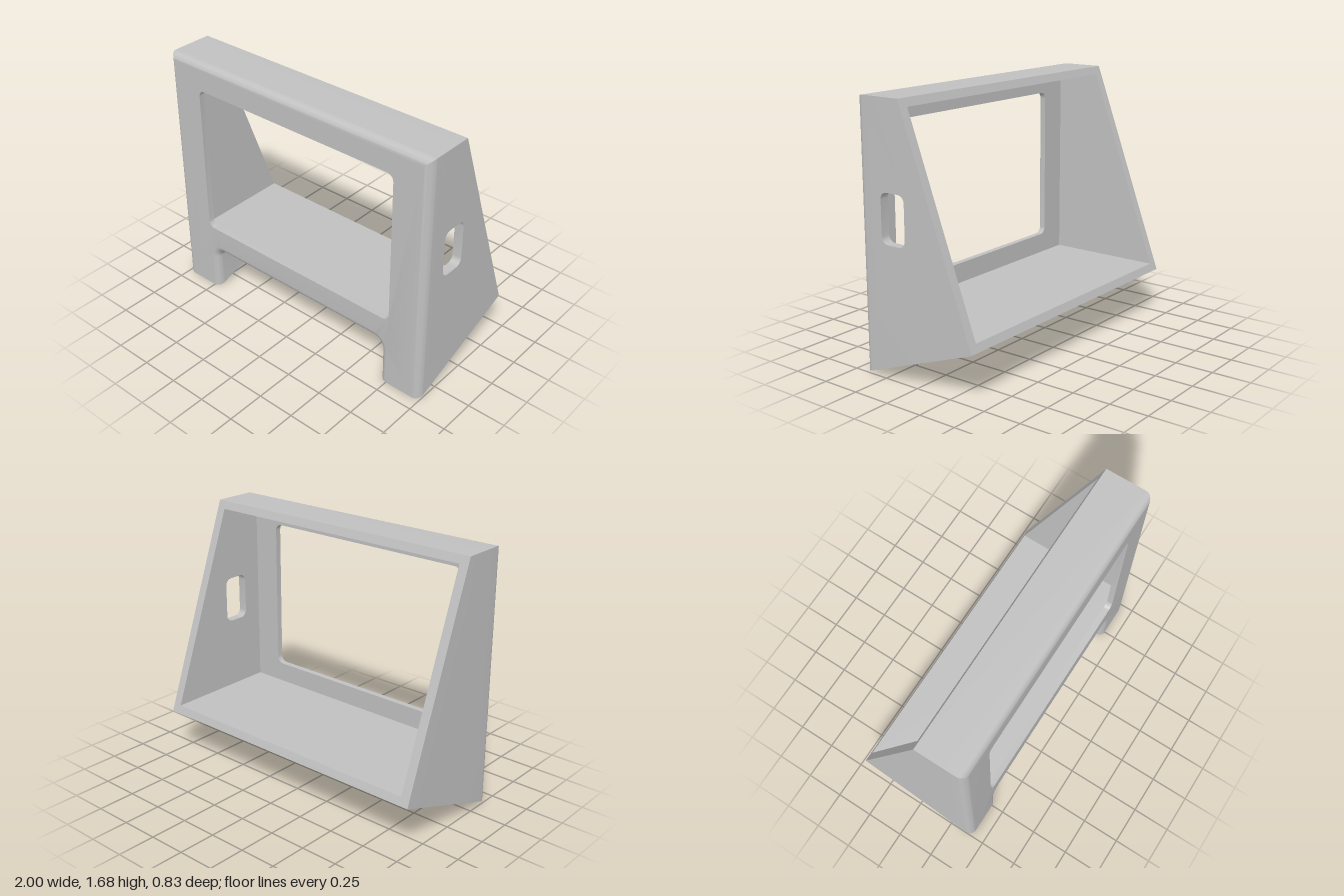
import * as THREE from 'three';
import { mergeGeometries, toCreasedNormals } from 'three/addons/utils/BufferGeometryUtils.js';

// Main dimensions
const W = 1, H = 1.68, FRONT = 0.415, BACK = -0.415, ARCH_Y = 0.305;
const LEG_X = 0.7, ARCH_R = 0.06, FILLET = 0.05, STEPS = 10;
const IN_X = 0.94, IN_BOTTOM = 0.355, IN_TOP = 1.63, PANEL_BACK = 0.375;
const SLOPE = ARCH_Y / (FRONT - BACK);

// Depth of the rear surface at a height: sloping back above, sloping underside below
const rearZ = (y) => y >= ARCH_Y
  ? BACK + (y - ARCH_Y) * (0.095 - BACK) / (H - ARCH_Y)
  : FRONT - y / SLOPE;

const v2 = (x, y) => new THREE.Vector2(x, y);

function roundedRect(x0, x1, y0, y1, r) {
  const pts = [];
  [[x1 - r, y1 - r, 0], [x0 + r, y1 - r, 1], [x0 + r, y0 + r, 2], [x1 - r, y0 + r, 3]].forEach(([cx, cy, q]) => {
    for (let i = 0; i <= 6; i++) {
      const a = (q + i / 6) * Math.PI / 2;
      pts.push(v2(cx + r * Math.cos(a), cy + r * Math.sin(a)));
    }
  });
  return pts;
}

// Flat outline with an optional hole, each point placed in space by a rule
function sheet(points, place, flip = false, hole = null) {
  const shape = new THREE.Shape(points);
  if (hole) shape.holes.push(new THREE.Path(hole));
  const g = new THREE.ShapeGeometry(shape);
  g.deleteAttribute('normal');
  g.deleteAttribute('uv');
  const p = g.attributes.position;
  for (let i = 0; i < p.count; i++) p.setXYZ(i, ...place(p.getX(i), p.getY(i)));
  if (flip) g.setIndex(Array.from(g.index.array).reverse());
  return g;
}

// Surface through rows of points; faces along (row direction x column direction)
function strip(rows) {
  const n = rows[0].length, index = [];
  for (let i = 0; i < rows.length - 1; i++) {
    for (let j = 0; j < n - 1; j++) {
      const a = i * n + j, b = a + n;
      index.push(a, b, b + 1, a, b + 1, a + 1);
    }
  }
  const g = new THREE.BufferGeometry();
  g.setAttribute('position', new THREE.Float32BufferAttribute(rows.flat(2), 3));
  g.setIndex(index);
  return g;
}

// Edge chains: x, y and the direction in which the front fillet is inset
const outerChain = [[W, 0, -1, 0], [W, H, -1, -1], [-W, H, 1, -1], [-W, 0, 1, 0]];
const archChain = [[-LEG_X, 0, -1, 0]];
const archCentre = LEG_X - ARCH_R;
for (const side of [-1, 1]) {
  for (let i = 0; i <= STEPS; i++) {
    const a = (side < 0 ? 1 - i / STEPS : i / STEPS) * Math.PI / 2;
    // a runs from the top of the arc (0) to the leg (90 degrees)
    const nx = side * Math.sin(a), ny = Math.cos(a);
    archChain.push([side * archCentre + ARCH_R * nx, ARCH_Y - ARCH_R + ARCH_R * ny, nx, ny]);
  }
}
archChain.push([LEG_X, 0, 1, 0]);

// One ring of the front fillet; leg ends follow the sloping underside
function ring(chain, k) {
  const a = k / STEPS * Math.PI / 2;
  const depth = FILLET * (1 - Math.cos(a)), inset = FILLET * (1 - Math.sin(a));
  return chain.map(([x, y, nx, ny]) =>
    [x + nx * inset, y === 0 ? depth * SLOPE : y + ny * inset, FRONT - depth]);
}
const rings = (chain) => Array.from({ length: STEPS + 1 }, (_, k) => ring(chain, k));
const toRear = (row) => [row, row.map(([x, y]) => [x, y, rearZ(y)])];

export function createModel() {
  const group = new THREE.Group();
  const grey = new THREE.MeshStandardMaterial({ color: 0xc0c0c0 });
  grey.name = 'plain grey';
  const add = (name, parts) => {
    const mesh = new THREE.Mesh(toCreasedNormals(mergeGeometries(parts), 0.5), grey);
    mesh.name = name;
    group.add(mesh);
  };

  const windowHole = roundedRect(-0.755, 0.755, 0.487, 1.5, 0.045);
  const gripHole = roundedRect(0.067, 0.247, 0.83, 1.138, 0.045);
  const outerRings = rings(outerChain), archRings = rings(archChain);

  // Front panel, rounded front edges, side walls, top and arch
  const face = [...outerRings[0], ...archRings[0]].map(([x, y]) => v2(x, y));
  const sideZ = FRONT - FILLET;
  const side = [v2(sideZ, FILLET * SLOPE), v2(sideZ, H), v2(rearZ(H), H), v2(BACK, ARCH_Y)];
  add('outerShell', [
    sheet(face, (x, y) => [x, y, FRONT], false, windowHole),
    strip(outerRings),
    strip(archRings),
    strip(toRear(archRings[STEPS])),
    strip(toRear([[W, H, sideZ], [-W, H, sideZ]])),
    sheet(side, (z, y) => [W, y, z], true, gripHole),
    sheet(side, (z, y) => [-W, y, z]),
  ]);

  // Sloping undersides of the two legs
  const inner = archRings.map((r) => r[r.length - 1]).reverse();
  const outer = outerRings.map((r) => r[0]);
  const arc = archRings[STEPS].slice(-STEPS - 2, -1);
  const leg = [...inner, ...outer, [W, ARCH_Y], ...arc].map(([x, y]) => v2(x, y));
  add('leftLegUnderside', [sheet(leg, (x, y) => [x, y, rearZ(y)], true)]);
  add('rightLegUnderside', [sheet(leg, (x, y) => [-x, y, rearZ(y)])]);

  // Sloping rim around the open back
  const rect = (x, y0, y1) => [v2(-x, y0), v2(x, y0), v2(x, y1), v2(-x, y1)];
  add('backRim', [sheet(rect(W, ARCH_Y, H), (x, y) => [x, y, rearZ(y)], true, rect(IN_X, IN_BOTTOM, IN_TOP))]);

  // Inside faces: panel back, floor, ceiling and side walls
  const inSide = [v2(PANEL_BACK, IN_BOTTOM), v2(PANEL_BACK, IN_TOP),
    v2(rearZ(IN_TOP), IN_TOP), v2(rearZ(IN_BOTTOM), IN_BOTTOM)];
  add('cavity', [
    sheet(rect(IN_X, IN_BOTTOM, IN_TOP), (x, y) => [x, y, PANEL_BACK], true, windowHole),
    strip(toRear([[IN_X, IN_BOTTOM, PANEL_BACK], [-IN_X, IN_BOTTOM, PANEL_BACK]])),
    strip(toRear([[-IN_X, IN_TOP, PANEL_BACK], [IN_X, IN_TOP, PANEL_BACK]])),
    sheet(inSide, (z, y) => [IN_X, y, z], false, gripHole),
    sheet(inSide, (z, y) => [-IN_X, y, z], true),
  ]);

  // Thickness of the window and of the slot in the left wall
  const closed = (pts) => [...pts, pts[0]];
  const win = closed(windowHole).reverse();
  add('windowEdge', [strip([FRONT, PANEL_BACK].map((z) => win.map((p) => [p.x, p.y, z])))]);
  add('slotEdge', [strip([W, IN_X].map((x) => closed(gripHole).map((p) => [x, p.y, p.x])))]);

  return group;
}
